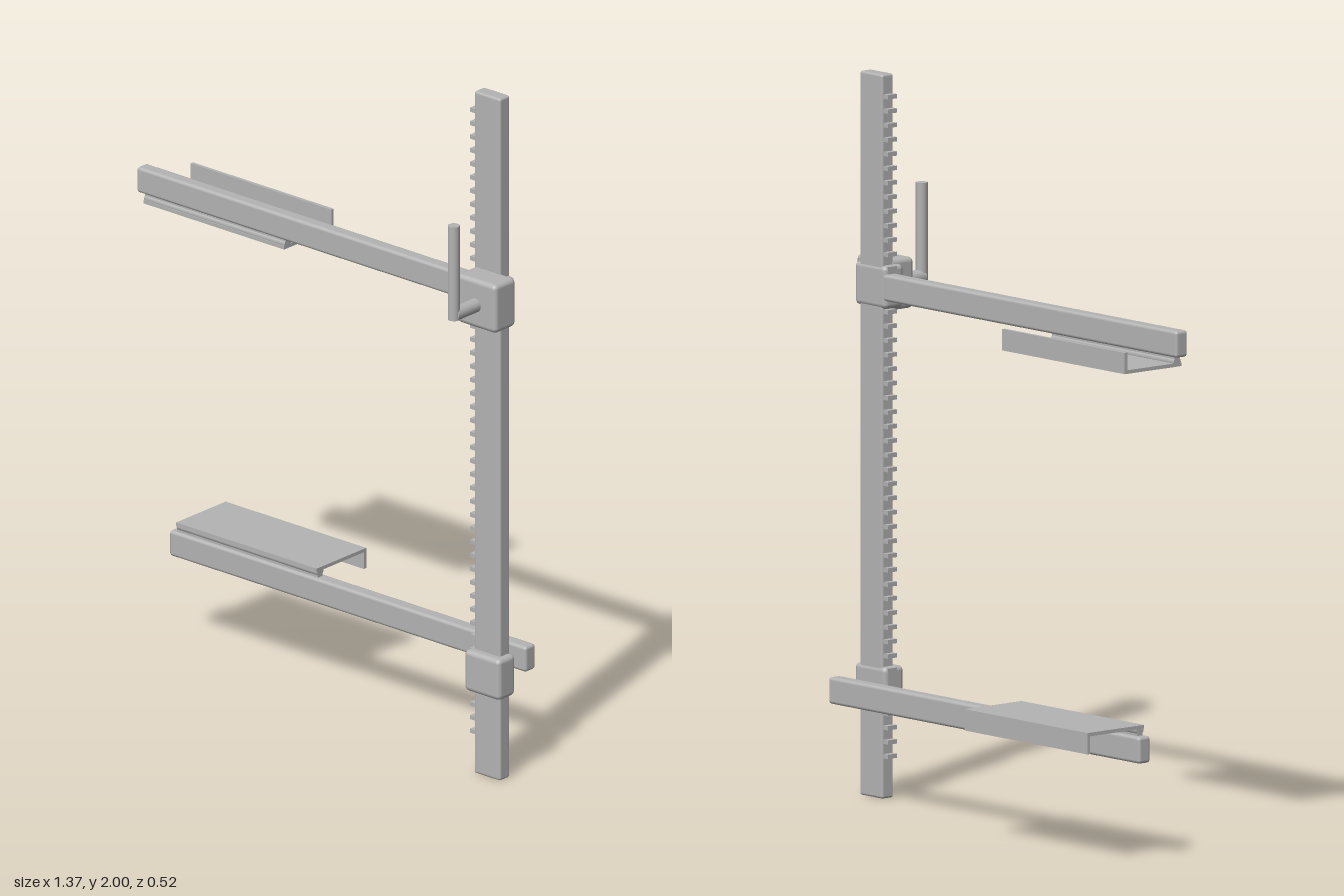
import * as THREE from 'three';
import { RoundedBoxGeometry } from 'three/addons/geometries/RoundedBoxGeometry.js';

export function createModel() {
  const model = new THREE.Group();
  const steel = new THREE.MeshStandardMaterial({ color: 0xb4b4b4 });
  steel.name = 'steel grey';

  const add = (name, geometry, parent = model) => {
    const mesh = new THREE.Mesh(geometry, steel);
    mesh.name = name;
    parent.add(mesh);
    return mesh;
  };
  // Box given by its extents on each axis, with optional rounded edges
  const box = (name, [x0, x1], [y0, y1], [z0, z1], r = 0, parent = model) => {
    const size = [x1 - x0, y1 - y0, z1 - z0];
    const geometry = r ? new RoundedBoxGeometry(...size, 2, r) : new THREE.BoxGeometry(...size);
    const mesh = add(name, geometry, parent);
    mesh.position.set((x0 + x1) / 2, (y0 + y1) / 2, (z0 + z1) / 2);
    return mesh;
  };

  // Upright post with a rack of teeth down its right edge
  box('post', [0.542, 0.637], [0, 2], [0.039, 0.081], 0.007);
  const rack = new THREE.Group();
  rack.name = 'rackTeeth';
  model.add(rack);
  for (let i = 0; i < 47; i++) {
    const y = 0.118 + i * 0.0396;
    box('tooth', [0.525, 0.548], [y - 0.006, y + 0.006], [0.045, 0.077], 0, rack);
  }

  // Clamps on the post
  box('lowerClamp', [0.526, 0.656], [0.245, 0.365], [0.036, 0.106], 0.014);
  box('upperSleeve', [0.526, 0.656], [1.353, 1.473], [0.036, 0.106], 0.014);
  box('crankHousing', [0.54, 0.685], [1.344, 1.486], [0.067, 0.154], 0.014);

  // Crank: shaft out of the housing and upright handle
  const shaft = add('crankShaft', new THREE.CylinderGeometry(0.02, 0.02, 0.1, 16));
  shaft.rotation.x = Math.PI / 2;
  shaft.position.set(0.612, 1.412, 0.194);
  const handle = add('crankHandle', new THREE.CylinderGeometry(0.017, 0.017, 0.275, 10));
  handle.position.set(0.612, 1.535, 0.242);

  // Arms, each with a hinged pad; dir is the side of the arm the pad sits on
  const addArm = (name, y, z, dir) => {
    const arm = new THREE.Group();
    arm.name = name;
    arm.position.set(0, y, z);
    model.add(arm);
    box('bar', [-0.687, 0.61], [-0.037, 0.037], [-0.021, 0.021], 0.009, arm);

    const padX = [-0.664, -0.153];
    const span = (a, b) => (dir > 0 ? [a, b] : [-b, -a]);
    box('padPlate', padX, span(0.055, 0.065), [-0.187, 0.017], 0, arm);
    box('padLip', padX, span(0.006, 0.062), [-0.187, -0.177], 0, arm);
    const hinge = add('padHinge', new THREE.CylinderGeometry(0.013, 0.013, 0.511, 12), arm);
    hinge.rotation.z = Math.PI / 2;
    hinge.position.set(-0.4085, 0.052 * dir, 0.002);
    box('hingeWeb', padX, span(0.03, 0.056), [-0.007, 0.011], 0, arm);
  };
  addArm('upperArm', 1.413, 0.058, -1);
  addArm('lowerArm', 0.307, -0.076, 1);

  return model;
}
